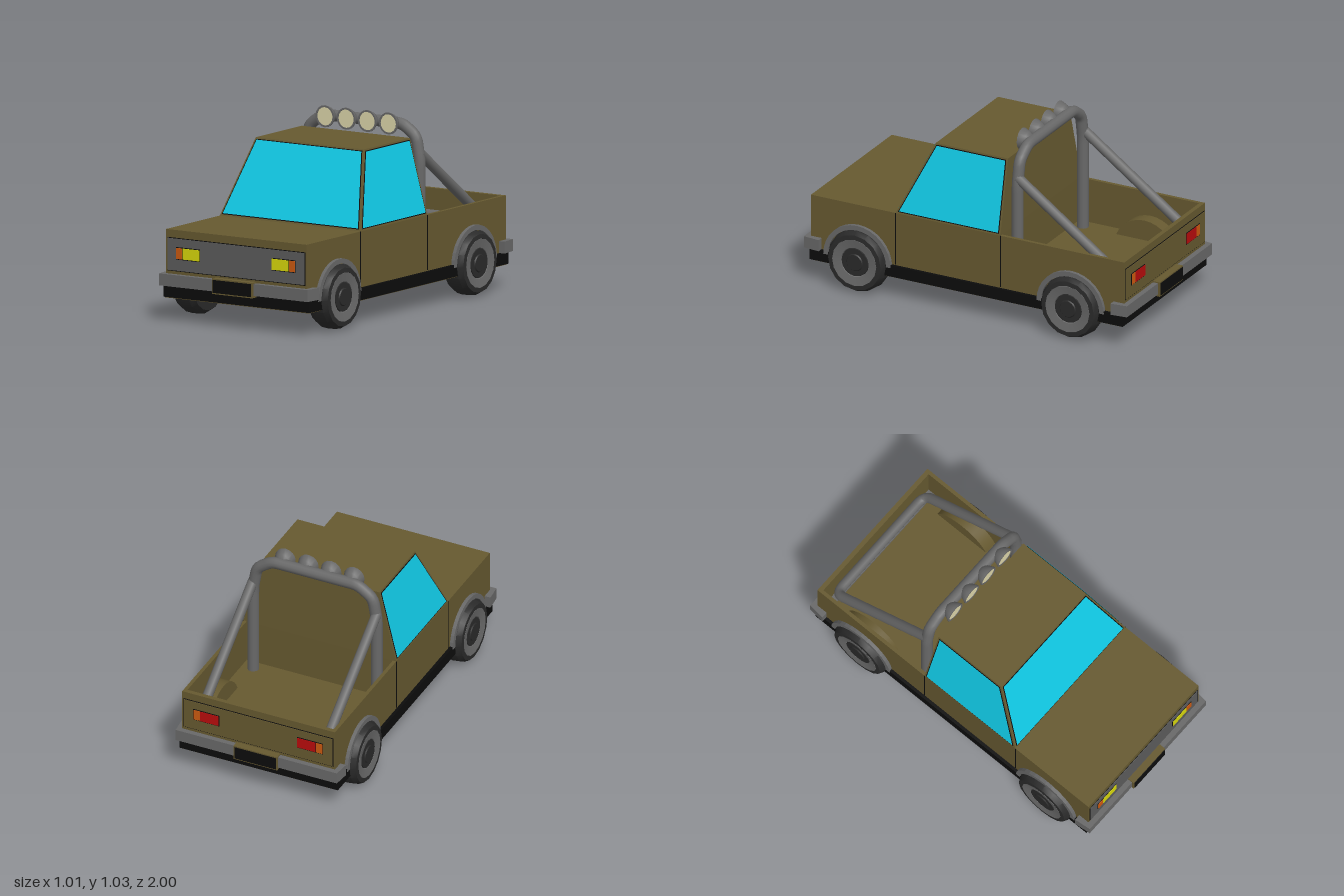
import * as THREE from 'three';
import { toCreasedNormals } from 'three/addons/utils/BufferGeometryUtils.js';

const mat = (color) => new THREE.MeshStandardMaterial({ color, side: THREE.DoubleSide });
const BODY = mat(0x665930), GREY = mat(0x686868), PANEL = mat(0x5c5c5c), BLACK = mat(0x0c0c0c);
const TYRE = mat(0x2a2a2a), GLASS = mat(0x10c8e4), LENS = mat(0xddd6aa), AMBER = mat(0xcc5a10);
const YELLOW = mat(0xd8d80c), RED = mat(0xb80c0c), FLOOR = mat(0x5a4d2a);
const V = (x, y, z) => new THREE.Vector3(x, y, z);

function add(parent, name, geometry, material) {
  const mesh = new THREE.Mesh(geometry, material);
  mesh.name = name;
  parent.add(mesh);
  return mesh;
}

// Box given by its min and max on each axis
function box(parent, name, material, x0, x1, y0, y1, z0, z1) {
  const g = new THREE.BoxGeometry(x1 - x0, y1 - y0, z1 - z0);
  g.translate((x0 + x1) / 2, (y0 + y1) / 2, (z0 + z1) / 2);
  return add(parent, name, g, material);
}

// Four-cornered panel, counter-clockwise, inset from its corners and lifted along its normal
function panel(parent, name, material, corners, inset = 0, lift = 0) {
  const [a, b, c, d] = corners;
  const n = b.clone().sub(a).cross(d.clone().sub(a)).normalize();
  const pts = corners.map((p, i) => {
    const toNext = corners[(i + 1) % 4].clone().sub(p).normalize();
    const toPrev = corners[(i + 3) % 4].clone().sub(p).normalize();
    const sin = toNext.clone().cross(toPrev).length();
    return p.clone().addScaledVector(toNext.add(toPrev), inset / sin).addScaledVector(n, lift);
  });
  const g = new THREE.BufferGeometry().setFromPoints([0, 1, 2, 0, 2, 3].map((i) => pts[i]));
  g.computeVertexNormals();
  return add(parent, name, g, material);
}

// Round bar along straight runs with rounded corners
function bar(parent, name, points, radius, round) {
  const path = new THREE.CurvePath();
  let last = points[0];
  for (let i = 1; i < points.length - 1; i++) {
    const p = points[i];
    const before = p.clone().add(points[i - 1].clone().sub(p).setLength(round));
    const after = p.clone().add(points[i + 1].clone().sub(p).setLength(round));
    path.add(new THREE.LineCurve3(last, before));
    path.add(new THREE.QuadraticBezierCurve3(before, p, after));
    last = after;
  }
  path.add(new THREE.LineCurve3(last, points[points.length - 1]));
  return add(parent, name, new THREE.TubeGeometry(path, 100, radius, 12), GREY);
}

function makeBody(root) {
  const body = new THREE.Group();
  body.name = 'body';
  root.add(body);
  box(body, 'lowerBody', BODY, -0.455, 0.455, 0.19, 0.5, -0.2, 0.955);
  box(body, 'bedFloor', BODY, -0.455, 0.455, 0.19, 0.25, -0.955, -0.2);
  box(body, 'tailgate', BODY, -0.455, 0.455, 0.25, 0.5, -0.955, -0.93);
  box(body, 'skirt', BLACK, -0.472, 0.472, 0.13, 0.195, -0.955, 0.955);
  box(body, 'underside', FLOOR, -0.465, 0.465, 0.126, 0.132, -0.95, 0.95);
  for (const s of [-1, 1]) {
    const x0 = Math.min(s * 0.435, s * 0.455), x1 = Math.max(s * 0.435, s * 0.455);
    box(body, 'bedSide', BODY, x0, x1, 0.25, 0.5, -0.93, -0.2);
    // Door seams
    for (const z of [0.44, -0.2]) {
      box(body, 'doorSeam', BLACK, s * 0.455 - 0.002, s * 0.455 + 0.002, 0.2, 0.5, z - 0.003, z + 0.003);
    }
  }

  // Cab with sloping sides and windscreen
  const cab = new THREE.Group();
  cab.name = 'cab';
  root.add(cab);
  const fl = V(0.455, 0.5, 0.44), fr = V(-0.455, 0.5, 0.44), bl = V(0.455, 0.5, -0.2), br = V(-0.455, 0.5, -0.2);
  const tfl = V(0.35, 0.91, 0.25), tfr = V(-0.35, 0.91, 0.25), tbl = V(0.35, 0.91, -0.19), tbr = V(-0.35, 0.91, -0.19);
  panel(cab, 'roof', BODY, [tfr, tfl, tbl, tbr]);
  panel(cab, 'cabBack', BODY, [bl, br, tbr, tbl]);
  const windows = { windscreen: [fr, fl, tfl, tfr], leftWindow: [fl, bl, tbl, tfl], rightWindow: [br, fr, tfr, tbr] };
  for (const [name, corners] of Object.entries(windows)) {
    panel(cab, name + 'Frame', BODY, corners);
    panel(cab, name + 'Seal', BLACK, corners, 0.009, 0.002);
    panel(cab, name, GLASS, corners, 0.014, 0.004);
  }
}

// Bumper, number plate, inset panel and lights; built facing +z
function makeEnd(root, name, panelMaterial, lightMaterial) {
  const end = new THREE.Group();
  end.name = name;
  root.add(end);
  const plan = new THREE.Shape([[-0.49, 0.89], [0.49, 0.89], [0.48, 0.985], [-0.48, 0.985]]
    .map(([x, z]) => new THREE.Vector2(x, -z)));
  const g = new THREE.ExtrudeGeometry(plan, { depth: 0.065, bevelEnabled: false });
  g.rotateX(-Math.PI / 2).translate(0, 0.195, 0);
  add(end, 'bumper', g, GREY);
  box(end, 'plateFrame', BODY, -0.13, 0.13, 0.183, 0.267, 0.95, 0.996);
  box(end, 'plate', BLACK, -0.123, 0.123, 0.19, 0.26, 0.96, 1);
  box(end, 'panelSeam', BLACK, -0.446, 0.446, 0.276, 0.458, 0.94, 0.957);
  box(end, 'endPanel', panelMaterial, -0.442, 0.442, 0.28, 0.454, 0.94, 0.96);
  for (const s of [-1, 1]) {
    const light = (n, m, a, b, lo, hi, z) =>
      box(end, n, m, Math.min(s * a, s * b), Math.max(s * a, s * b), lo, hi, 0.95, z);
    light('lightSurround', BLACK, 0.231, 0.387, 0.341, 0.409, 0.962);
    light('mainLight', lightMaterial, 0.235, 0.343, 0.345, 0.405, 0.965);
    light('indicator', AMBER, 0.347, 0.383, 0.345, 0.405, 0.965);
  }
  return end;
}

function makeWheel(root, s, z) {
  const wheel = new THREE.Group();
  wheel.name = 'wheel';
  wheel.position.set(0, 0.18, z);
  root.add(wheel);
  const turned = (name, material, profile) => {
    const g = new THREE.LatheGeometry(profile.map(([r, x]) => new THREE.Vector2(r, x)), 16);
    g.rotateZ(-s * Math.PI / 2);
    add(wheel, name, toCreasedNormals(g, 0.5), material);
  };
  turned('tyre', TYRE, [[0, 0.37], [0.155, 0.37], [0.175, 0.4], [0.18, 0.435], [0.175, 0.475], [0.16, 0.503], [0.135, 0.505], [0.13, 0.49], [0, 0.49]]);
  turned('rim', GREY, [[0.136, 0.49], [0.134, 0.506], [0.085, 0.498], [0.08, 0.485]]);
  turned('hub', TYRE, [[0.082, 0.485], [0.08, 0.499], [0.05, 0.499], [0.045, 0.505], [0, 0.505]]);

  // Arch over the wheel
  const ring = new THREE.Shape();
  ring.absarc(0, 0, 0.205, 0, Math.PI, false);
  ring.absarc(0, 0, 0.178, Math.PI, 0, true);
  const arch = new THREE.ExtrudeGeometry(ring, { depth: 0.035, bevelEnabled: false, curveSegments: 8 });
  arch.rotateY(Math.PI / 2).translate(s > 0 ? 0.44 : -0.475, 0, 0);
  add(wheel, 'wheelArch', arch, GREY);

  // Wheel housing inside the bed
  if (z < 0) {
    const housing = new THREE.CylinderGeometry(0.185, 0.185, 0.075, 16, 1, false, 0, Math.PI);
    housing.rotateZ(Math.PI / 2).translate(s * 0.4, 0, 0);
    add(wheel, 'wheelHousing', toCreasedNormals(housing, 0.5), BODY);
  }
}

function makeRollBar(root) {
  const frame = new THREE.Group();
  frame.name = 'rollBar';
  root.add(frame);
  const z = -0.258, x = 0.368;
  bar(frame, 'hoop', [V(-x, 0.25, z), V(-x, 0.78, z), V(-0.345, 0.91, z), V(-0.255, 0.972, z),
    V(0.255, 0.972, z), V(0.345, 0.91, z), V(x, 0.78, z), V(x, 0.25, z)], 0.032, 0.035);
  bar(frame, 'rearBrace', [V(-x, 0.82, z), V(-x, 0.36, -0.9), V(x, 0.36, -0.9), V(x, 0.82, z)], 0.028, 0.06);

  // Row of spotlights
  const shell = [[0, -0.065], [0.025, -0.06], [0.045, -0.04], [0.06, -0.006], [0.06, 0], [0.05, 0], [0.05, -0.006]];
  for (const lx of [-0.205, -0.068, 0.068, 0.205]) {
    const lamp = new THREE.Group();
    lamp.name = 'spotlight';
    lamp.position.set(lx, 0.974, -0.196);
    frame.add(lamp);
    const g = new THREE.LatheGeometry(shell.map(([r, d]) => new THREE.Vector2(r, d)), 16);
    add(lamp, 'lampShell', toCreasedNormals(g.rotateX(Math.PI / 2), 0.7), GREY);
    add(lamp, 'lens', new THREE.CircleGeometry(0.051, 16), LENS).position.z = -0.003;
  }
}

export function createModel() {
  const root = new THREE.Group();
  root.name = 'pickupTruck';
  makeBody(root);
  makeEnd(root, 'frontEnd', PANEL, YELLOW);
  makeEnd(root, 'rearEnd', BODY, RED).rotation.y = Math.PI;
  for (const s of [-1, 1]) for (const z of [0.665, -0.635]) makeWheel(root, s, z);
  makeRollBar(root);
  return root;
}
